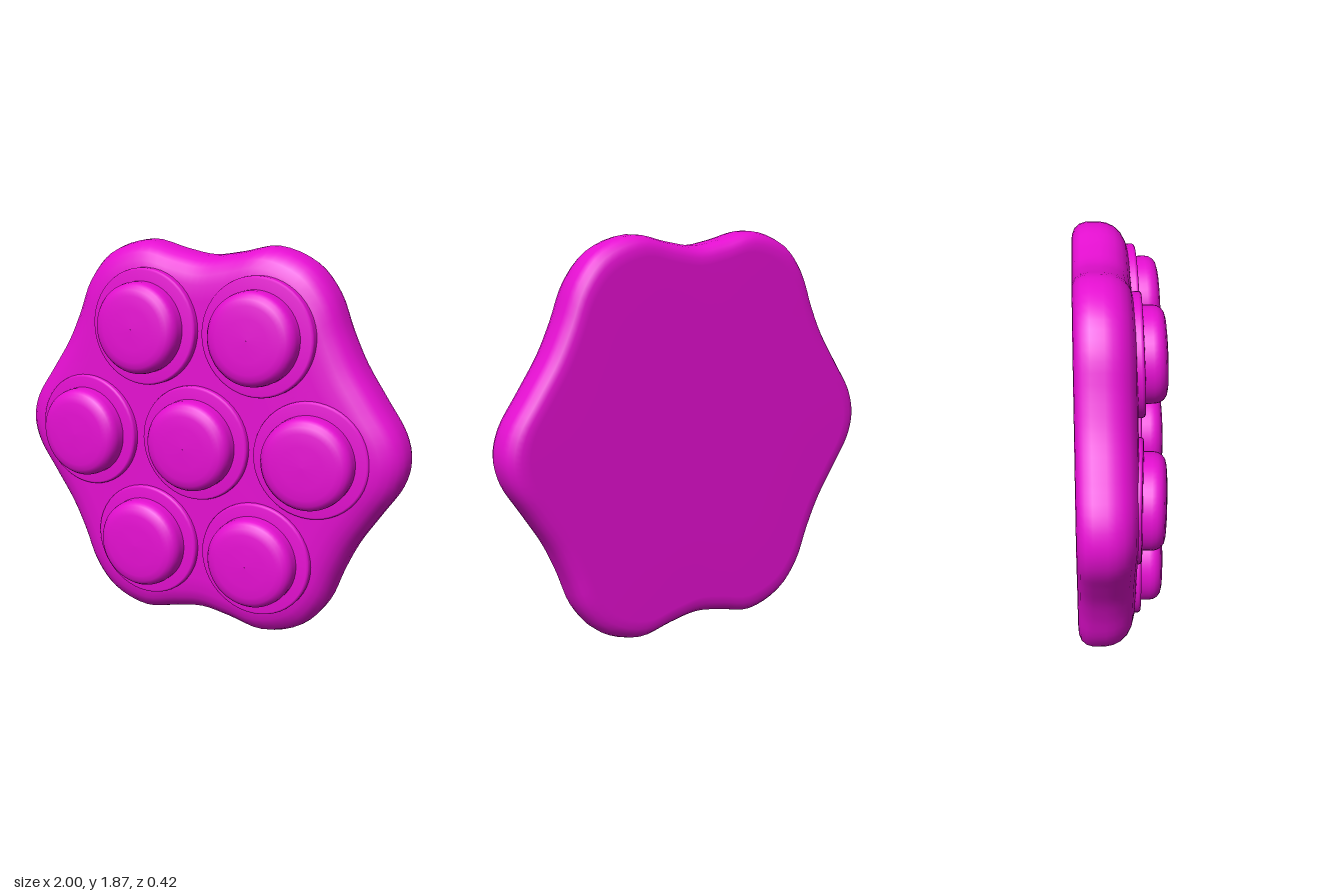
import * as THREE from 'three';

const MID_Y = 0.935;
const material = new THREE.MeshStandardMaterial({ color: 0xe60fd2 });

// Six-lobed outline: one quadrant, mirrored to all four
function outline(count) {
  const q = [[1, 0], [0.972, 0.12], [0.875, 0.27], [0.77, 0.43], [0.7, 0.575],
    [0.63, 0.745], [0.52, 0.87], [0.33, 0.935], [0.15, 0.9], [0, 0.878]];
  const left = q.slice(0, -1).reverse().map(([x, y]) => [-x, y]);
  const top = [...q, ...left];
  const bottom = top.slice(1, -1).reverse().map(([x, y]) => [x, -y]);
  const pts = [...top, ...bottom].map(([x, y]) => new THREE.Vector3(x, y, 0));
  return new THREE.CatmullRomCurve3(pts, true).getPoints(count).slice(0, count);
}

// Slab: the outline scaled along a rounded edge section, from back to front
function slabGeometry() {
  const n = 144;
  const ring = outline(n);
  const section = [[0, -0.21], [0.5, -0.21], [0.9, -0.21], [0.94, -0.207], [0.97, -0.195],
    [0.99, -0.172], [1, -0.14], [1, -0.08], [0.994, -0.045], [0.978, -0.01],
    [0.95, 0.02], [0.91, 0.042], [0.86, 0.055], [0.78, 0.063], [0.5, 0.068], [0, 0.07]];
  const pos = [], idx = [];
  section.forEach(([s, z], j) => {
    ring.forEach((p, i) => {
      pos.push(p.x * s, p.y * s, z);
      if (j === section.length - 1) return;
      const a = j * n + i, b = j * n + (i + 1) % n;
      idx.push(a, b, b + n, a, b + n, a + n);
    });
  });
  const geo = new THREE.BufferGeometry();
  geo.setAttribute('position', new THREE.Float32BufferAttribute(pos, 3));
  geo.setIndex(idx);
  geo.computeVertexNormals();
  return geo;
}

// Lathe turned so its axis points to the front
function turned(points) {
  const geo = new THREE.LatheGeometry(points.map(([r, z]) => new THREE.Vector2(r, z)), 48);
  return geo.rotateX(Math.PI / 2);
}

export function createModel() {
  const group = new THREE.Group();
  const add = (parent, geo, name) => {
    const mesh = new THREE.Mesh(geo, material);
    mesh.name = name;
    parent.add(mesh);
  };

  const slab = new THREE.Group();
  slab.name = 'slab';
  slab.position.y = MID_Y;
  add(slab, slabGeometry(), 'slabBody');
  group.add(slab);

  // Stepped collar and rounded button, heights measured from z = 0
  const collar = turned([[0.277, 0], [0.277, 0.085], [0.274, 0.094], [0.266, 0.099], [0.2, 0.102]]);
  const button = turned([[0.217, 0.08], [0.217, 0.14], [0.213, 0.162], [0.202, 0.18],
    [0.184, 0.193], [0.155, 0.2], [0.1, 0.204], [0.001, 0.206]]);

  // Position of each button, with a slight outward tilt
  const places = [
    [0.005, 0.945, 0, 0],
    [-0.59, 0.935, 0, -0.07], [0.585, 0.935, 0, 0.07],
    [-0.263, 1.478, -0.035, -0.02], [0.322, 1.478, -0.035, 0.02],
    [-0.263, 0.415, 0, -0.02], [0.322, 0.415, 0, 0.02],
  ];
  places.forEach(([x, y, tiltX, tiltY], i) => {
    const unit = new THREE.Group();
    unit.name = `button${i + 1}`;
    unit.position.set(x, y, Math.abs(tiltY) > 0.05 ? -0.015 : y < 0.5 ? -0.008 : 0);
    unit.rotation.set(tiltX, tiltY, 0);
    add(unit, collar, 'buttonCollar');
    add(unit, button, 'buttonDome');
    group.add(unit);
  });
  return group;
}
